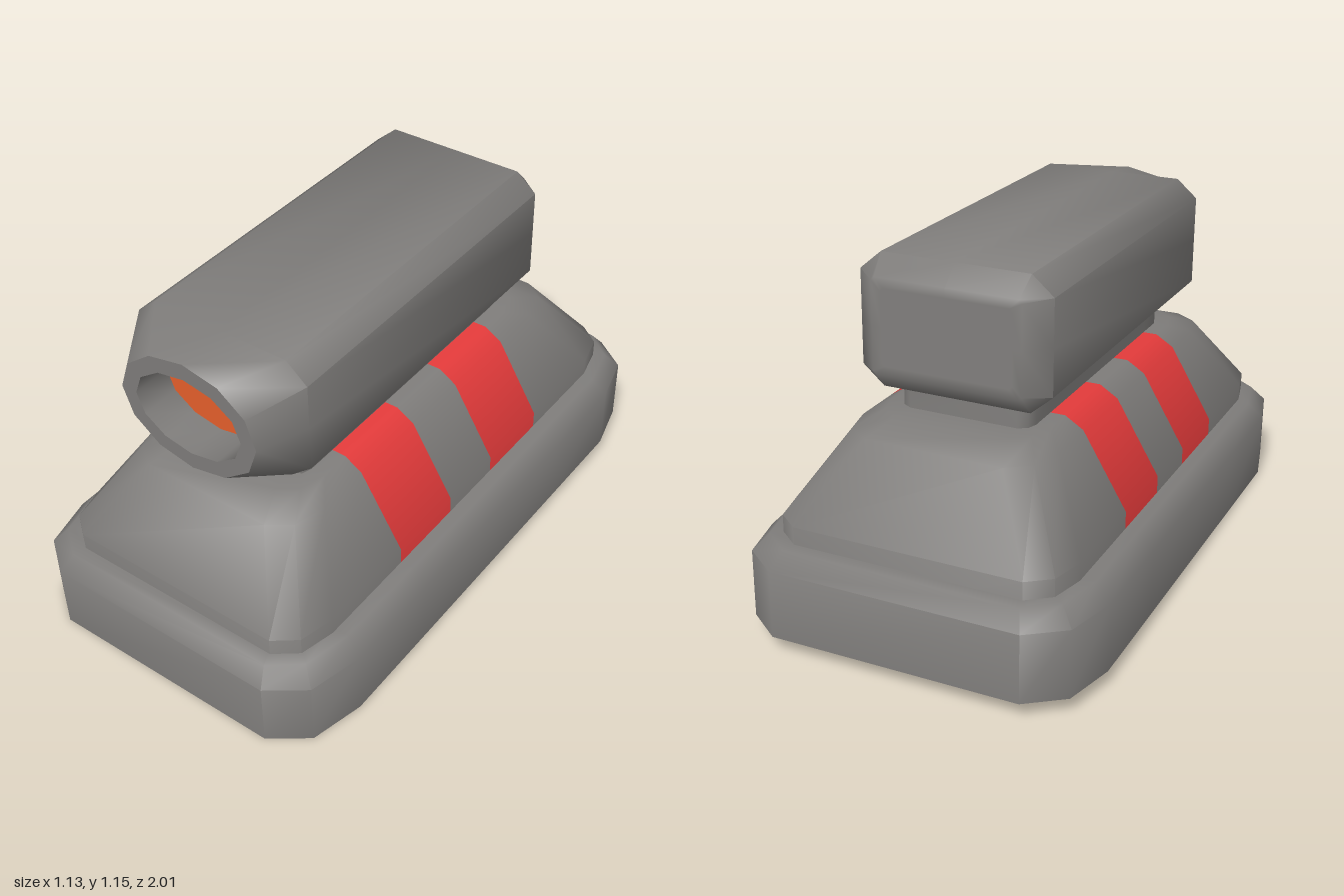
import * as THREE from 'three';
import { toCreasedNormals } from 'three/addons/utils/BufferGeometryUtils.js';

const makeMaterial = (name, color) => {
  const m = new THREE.MeshStandardMaterial({ color, side: THREE.DoubleSide });
  m.name = name;
  return m;
};

// Skin a stack of rings; faces picked by pick(band, segment) take material 1.
function loft(rings, { startCap = false, endCap = false, pick = () => 0 } = {}) {
  const faces = [[], []];
  const n = rings[0].length;
  const tri = (m, ...pts) => pts.forEach((p) => faces[m].push(p.x, p.y, p.z));
  for (let b = 0; b + 1 < rings.length; b++) {
    for (let i = 0; i < n; i++) {
      const j = (i + 1) % n, lo = rings[b], hi = rings[b + 1], m = pick(b, i);
      tri(m, lo[i], lo[j], hi[j]);
      tri(m, lo[i], hi[j], hi[i]);
    }
  }
  const cap = (ring, flip) => {
    const c = ring.reduce((s, p) => s.add(p), new THREE.Vector3()).divideScalar(n);
    for (let i = 0; i < n; i++) {
      const a = ring[i], d = ring[(i + 1) % n];
      if (flip) tri(0, c, d, a); else tri(0, c, a, d);
    }
  };
  if (startCap) cap(rings[0], true);
  if (endCap) cap(rings[rings.length - 1], false);

  const geo = new THREE.BufferGeometry();
  geo.setAttribute('position', new THREE.Float32BufferAttribute([...faces[0], ...faces[1]], 3));
  geo.addGroup(0, faces[0].length / 3, 0);
  if (faces[1].length) geo.addGroup(faces[0].length / 3, faces[1].length / 3, 1);
  return toCreasedNormals(geo, 0.95);
}

// Horizontal rounded rectangle, with extra points on the long sides at the stripe edges.
function plan(hx, hz, y, cx, cz) {
  const mx = hx - cx * 0.27, mz = hz - cz * 0.33;
  const half = [
    [hx - cx, hz], [mx, mz], [hx, hz - cz],
    [hx, 0.393], [hx, 0.118], [hx, -0.118], [hx, -0.393],
    [hx, cz - hz], [mx, -mz], [hx - cx, -hz],
  ];
  return [...half, ...half.map(([x, z]) => [-x, -z])].map(([x, z]) => new THREE.Vector3(x, y, z));
}

const HEAD_Y = 0.892;

// Upright bevelled rectangle with twelve points, matching the ellipse below.
function bevelled(hx, hy, cx, cy, z) {
  const half = [[hx, 0], [hx, hy - cy], [hx - cx, hy], [0, hy], [cx - hx, hy], [-hx, hy - cy]];
  return [...half, ...half.map(([x, y]) => [-x, -y])]
    .map(([x, y]) => new THREE.Vector3(x, HEAD_Y + y, z));
}

function ellipse(rx, ry, z) {
  return Array.from({ length: 12 }, (_, i) => {
    const a = (i * Math.PI) / 6;
    return new THREE.Vector3(rx * Math.cos(a), HEAD_Y + ry * Math.sin(a), z);
  });
}

export function createModel() {
  const grey = makeMaterial('grey shell', 0x7f7d7b);
  const red = makeMaterial('red stripe', 0xe53b3b);
  const orange = makeMaterial('orange lens', 0xe8602c);

  const model = new THREE.Group();
  model.name = 'tiltedTurret';
  const add = (name, geo, mat) => {
    const mesh = new THREE.Mesh(geo, mat);
    mesh.name = name;
    model.add(mesh);
  };

  // Base rim, open below and closed by a flat deck on top
  add('base', loft([
    plan(0.563, 1.0, 0, 0.16, 0.26),
    plan(0.563, 1.0, 0.22, 0.16, 0.26),
    plan(0.512, 0.955, 0.273, 0.13, 0.23),
    plan(0.46, 0.9, 0.273, 0.1, 0.17),
  ], { endCap: true }), [grey]);

  // Sloping tower whose skirt runs down inside the base; two stripes on each side
  add('stripedTower', loft([
    plan(0.47, 0.912, 0.025, 0.1, 0.17),
    plan(0.47, 0.912, 0.33, 0.1, 0.17),
    plan(0.325, 0.735, 0.57, 0.1, 0.16),
    plan(0.265, 0.625, 0.607, 0.08, 0.13),
    plan(0.2, 0.53, 0.607, 0.05, 0.08),
  ], { endCap: true, pick: (b, i) => (i % 10 === 3 || i % 10 === 5 ? 1 : 0) }), [grey, red]);

  // Neck between tower and head
  add('neck', loft([
    plan(0.217, 0.545, 0.6, 0.04, 0.05),
    plan(0.217, 0.545, 0.7, 0.04, 0.05),
  ]), [grey]);

  // Head, tapering at the front into an oval lip and recessed socket
  add('head', loft([
    bevelled(0.21, 0.12, 0.01, 0.01, -0.65),
    bevelled(0.24, 0.15, 0.01, 0.01, -0.65),
    bevelled(0.31, 0.209, 0.07, 0.06, -0.588),
    bevelled(0.31, 0.209, 0.07, 0.06, 0.61),
    ellipse(0.25, 0.19, 0.77),
    ellipse(0.195, 0.135, 0.77),
    ellipse(0.195, 0.135, 0.64),
  ], { startCap: true }), [grey]);

  // Lens at the bottom of the socket
  add('lens', loft([ellipse(0.195, 0.135, 0.64)], { endCap: true }), [orange]);

  // The whole body leans slightly forward
  model.rotation.x = 0.03;
  model.position.y = 0.03;
  const root = new THREE.Group();
  root.name = 'model';
  root.add(model);
  return root;
}
